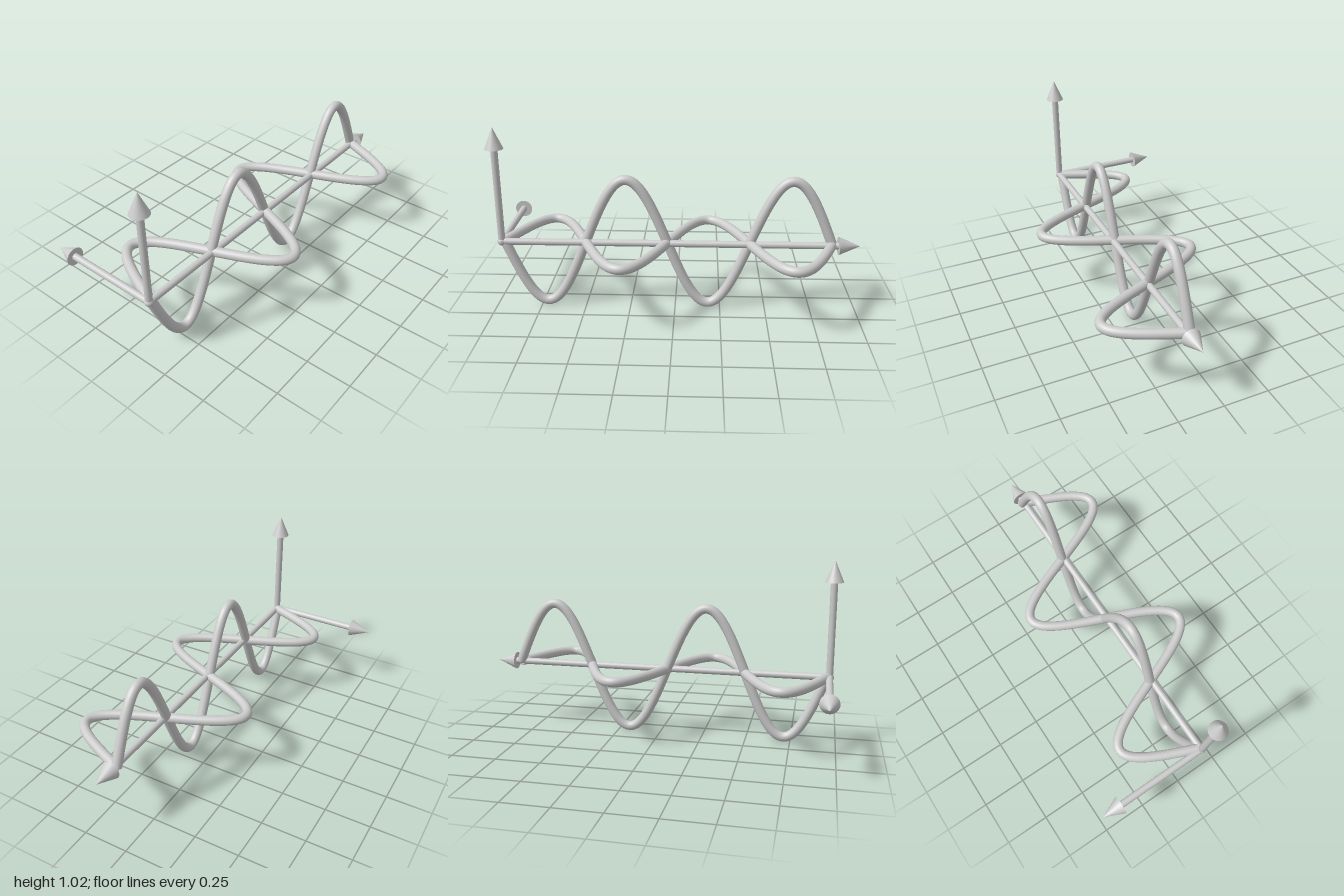
import * as THREE from 'three';

const material = new THREE.MeshStandardMaterial({ color: 0xcccccc, side: THREE.DoubleSide });
const ORIGIN = new THREE.Vector3(-0.95, 0.385, 0.136);

function addMesh(parent, name, geometry) {
  const mesh = new THREE.Mesh(geometry, material);
  mesh.name = name;
  parent.add(mesh);
  return mesh;
}

// Shaft with a cone head, pointing from the origin along a direction
function makeArrow(name, direction, length) {
  const headLength = 0.116;
  const shaftLength = length - headLength;
  const arrow = new THREE.Group();
  arrow.name = name;
  addMesh(arrow, 'shaft', new THREE.CylinderGeometry(0.019, 0.019, shaftLength, 32)).position.y = shaftLength / 2;
  addMesh(arrow, 'head', new THREE.ConeGeometry(0.05, headLength, 32)).position.y = shaftLength + headLength / 2;
  arrow.position.copy(ORIGIN);
  arrow.quaternion.setFromUnitVectors(new THREE.Vector3(0, 1, 0), direction);
  return arrow;
}

// Sine curve of two periods, swinging along the given axis
class WaveCurve extends THREE.Curve {
  constructor(axis) {
    super();
    this.axis = axis;
  }
  getPoint(t, target = new THREE.Vector3()) {
    target.set(-0.936 + 1.788 * t, 0.385, 0.125);
    target[this.axis] -= 0.357 * Math.sin(4 * Math.PI * t);
    return target;
  }
}

// Round tube along the wave, with both ends closed
function makeWave(name, axis) {
  const radius = 0.027;
  const curve = new WaveCurve(axis);
  const wave = new THREE.Group();
  wave.name = name;
  addMesh(wave, 'tube', new THREE.TubeGeometry(curve, 240, radius, 24));
  for (const t of [0, 1]) {
    const cap = addMesh(wave, 'endCap', new THREE.CircleGeometry(radius, 24));
    cap.position.copy(curve.getPointAt(t));
    const outward = curve.getTangentAt(t).multiplyScalar(t ? 1 : -1);
    cap.quaternion.setFromUnitVectors(new THREE.Vector3(0, 0, 1), outward);
  }
  return wave;
}

export function createModel() {
  const model = new THREE.Group();
  model.name = 'crossedWaves';

  // Three axis arrows meeting at a small joint
  model.add(makeArrow('lengthArrow', new THREE.Vector3(1, 0, 0), 1.95));
  model.add(makeArrow('upArrow', new THREE.Vector3(0, 1, 0), 0.639));
  model.add(makeArrow('depthArrow', new THREE.Vector3(0, 0, -1), 0.641));
  addMesh(model, 'originJoint', new THREE.SphereGeometry(0.024, 24, 16)).position.copy(ORIGIN);

  // Two waves at right angles to each other
  model.add(makeWave('verticalWave', 'y'));
  model.add(makeWave('horizontalWave', 'z'));

  return model;
}
